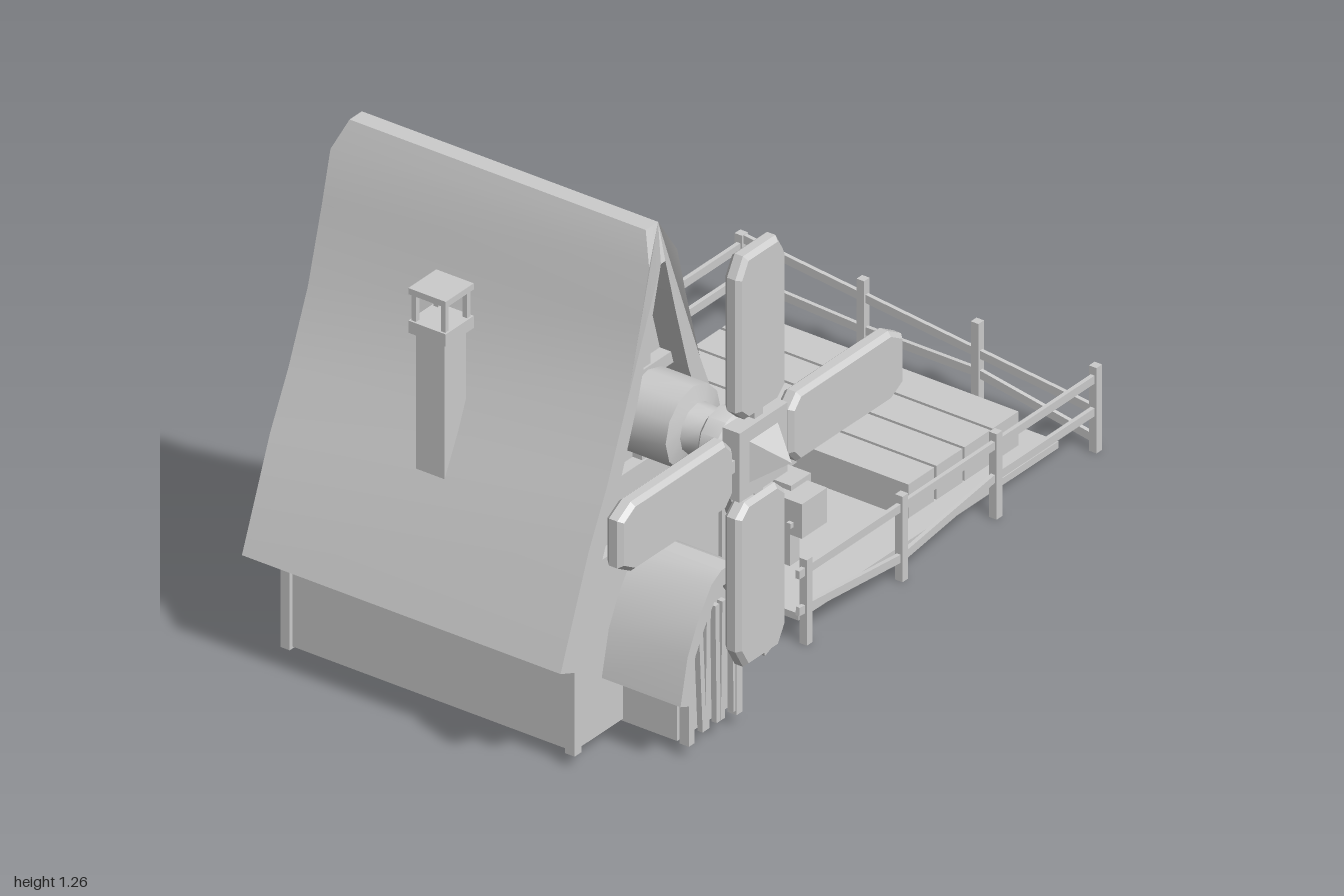
import * as THREE from 'three';
import { toCreasedNormals } from 'three/addons/utils/BufferGeometryUtils.js';

const grey = new THREE.MeshStandardMaterial({ color: 0xcccccc, side: THREE.DoubleSide });
const CX = -0.5; // centre line of the mill house

function add(parent, name, geometry, x = 0, y = 0, z = 0) {
  const mesh = new THREE.Mesh(geometry, grey);
  mesh.name = name;
  mesh.position.set(x, y, z);
  parent.add(mesh);
  return mesh;
}

// Box given by its extents on each axis
function block(parent, name, x0, x1, y0, y1, z0, z1) {
  return add(parent, name, new THREE.BoxGeometry(x1 - x0, y1 - y0, z1 - z0),
    (x0 + x1) / 2, (y0 + y1) / 2, (z0 + z1) / 2);
}

// Square bar between two points
function bar(parent, name, a, b, w, d = w) {
  const p = new THREE.Vector3(...a), q = new THREE.Vector3(...b);
  const mesh = add(parent, name, new THREE.BoxGeometry(w, d, p.distanceTo(q)));
  mesh.position.copy(p).add(q).multiplyScalar(0.5);
  mesh.lookAt(q);
  return mesh;
}

function group(parent, name) {
  const g = new THREE.Group();
  g.name = name;
  parent.add(g);
  return g;
}

// Symmetrical shape from half profiles: outer and inner both run from eave to ridge
function archShape(outer, inner) {
  const mirror = pts => pts.map(([x, y]) => [-x, y]);
  const loop = [...outer, ...mirror(outer).reverse(), ...mirror(inner), ...[...inner].reverse()];
  return new THREE.Shape(loop.map(([x, y]) => new THREE.Vector2(x, y)));
}

function extrude(shape, z0, z1) {
  const g = new THREE.ExtrudeGeometry(shape, { depth: z1 - z0, bevelEnabled: false });
  return g.translate(0, 0, z0);
}

function buildHouse(root) {
  const house = group(root, 'house');
  block(house, 'walls', -0.765, -0.235, 0.035, 0.43, -0.52, 0.245);
  for (const x of [-0.775, -0.25]) for (const z of [-0.53, 0.23])
    block(house, 'cornerPost', x, x + 0.025, 0.03, 0.44, z, z + 0.025);

  // Flared main roof with the ridge ends cut back
  const outer = [[0.365, 0.285], [0.265, 0.54], [0.2, 0.67], [0.13, 0.84], [0.08, 1.02], [0.05, 1.14], [0.022, 1.21]];
  const inner = [[0.315, 0.265], [0.235, 0.45], [0.16, 0.64], [0.09, 0.83], [0.042, 1.0], [0.008, 1.13]];
  const roof = extrude(archShape(outer, inner), -0.565, 0.285);
  const pos = roof.attributes.position;
  for (let i = 0; i < pos.count; i++)
    if (pos.getY(i) > 1.17) pos.setZ(i, pos.getZ(i) > 0 ? 0.255 : -0.535);
  add(house, 'roof', toCreasedNormals(roof, 0.3), CX);

  // Recessed gable panels and the timbers across them
  const gable = new THREE.Shape([[0.23, 0.43], [0.165, 0.64], [0.095, 0.83], [0.045, 1.0], [0, 1.13],
    [-0.045, 1.0], [-0.095, 0.83], [-0.165, 0.64], [-0.23, 0.43]].map(p => new THREE.Vector2(...p)));
  for (const [z0, z1, zf] of [[0.195, 0.215, 0.215], [-0.49, -0.47, -0.52]]) {
    add(house, 'gable', extrude(gable, z0, z1), CX);
    for (const [y, half] of [[0.43, 0.25], [0.605, 0.185], [0.83, 0.1]])
      block(house, 'gableBeam', CX - half, CX + half, y, y + 0.03, zf, zf + 0.03);
    block(house, 'gablePost', CX - 0.015, CX + 0.015, 0.6, 1.12, zf, zf + 0.025);
  }

  // Chimney with an open lantern top
  const chimney = group(house, 'chimney');
  block(chimney, 'chimneyStack', -0.748, -0.672, 0.56, 0.92, -0.188, -0.112);
  block(chimney, 'chimneyCollar', -0.76, -0.66, 0.91, 0.94, -0.2, -0.1);
  for (const x of [-0.755, -0.677]) for (const z of [-0.195, -0.117])
    block(chimney, 'lanternPost', x, x + 0.012, 0.935, 1.01, z, z + 0.012);
  block(chimney, 'chimneyCap', -0.76, -0.66, 1.005, 1.02, -0.2, -0.1);
}

function buildPorch(root) {
  const porch = group(root, 'porch');
  const outer = [[0.165, 0.17], [0.14, 0.28], [0.105, 0.35], [0.055, 0.42], [0.02, 0.44]];
  const inner = [[0.135, 0.158], [0.112, 0.27], [0.08, 0.325], [0.04, 0.38], [0.012, 0.4]];
  add(porch, 'porchRoof', toCreasedNormals(extrude(archShape(outer, inner), 0.23, 0.455), 0.5), CX);
  block(porch, 'door', CX - 0.09, CX + 0.09, 0.03, 0.34, 0.24, 0.39);
  // Slim uneven planks in front of the door
  for (const [top, foot] of [[-0.05, -0.035], [-0.02, -0.025], [0.01, 0.015], [0.035, 0.03], [0.07, 0.075]])
    bar(porch, 'porchPlank', [CX + top, 0.33, 0.415], [CX + foot, 0.04, 0.415], 0.014);
  for (const s of [-1, 1])
    block(porch, 'porchPost', CX + s * 0.085 - 0.01, CX + s * 0.085 + 0.01, 0.03, 0.32, 0.4, 0.425);
}

function buildSails(root) {
  const sails = group(root, 'windmillSails');
  sails.position.set(CX, 0.755, 0);
  // Axle turned from a stepped profile, running out of the gable
  const profile = [[0, 0.2], [0.098, 0.2], [0.098, 0.365], [0.06, 0.375], [0.055, 0.42], [0.075, 0.435],
    [0.075, 0.48], [0.06, 0.51], [0, 0.51]].map(p => new THREE.Vector2(...p));
  add(sails, 'axle', toCreasedNormals(new THREE.LatheGeometry(profile, 12).rotateX(Math.PI / 2), 0.6));
  add(sails, 'hub', new THREE.BoxGeometry(0.17, 0.17, 0.046), 0, 0, 0.53);
  const nose = new THREE.ConeGeometry(0.072, 0.075, 4, 1).rotateY(Math.PI / 4).rotateX(Math.PI / 2).toNonIndexed();
  nose.computeVertexNormals();
  add(sails, 'hubNose', nose, 0, 0, 0.59);

  // Sail blade: bevelled plate with clipped corners
  const blade = new THREE.Shape([[-0.05, 0.112], [0.05, 0.112], [0.075, 0.135], [0.075, 0.455], [0.052, 0.495],
    [-0.052, 0.495], [-0.075, 0.455], [-0.075, 0.135]].map(p => new THREE.Vector2(...p)));
  const bladeGeometry = new THREE.ExtrudeGeometry(blade,
    { depth: 0.022, bevelThickness: 0.011, bevelSize: 0.01, bevelSegments: 1 }).translate(0, 0, 0.519);
  for (let i = 0; i < 4; i++) {
    const arm = group(sails, 'sail');
    arm.rotation.z = i * Math.PI / 2;
    add(arm, 'sailBlade', bladeGeometry);
    add(arm, 'sailRoot', new THREE.BoxGeometry(0.03, 0.06, 0.02), 0, 0.095, 0.53);
  }
}

function buildBarrels(root) {
  const profile = [[0, 0], [0.037, 0], [0.045, 0.04], [0.048, 0.07], [0.045, 0.1], [0.037, 0.14], [0.032, 0.14],
    [0.032, 0.133], [0, 0.133]].map(p => new THREE.Vector2(...p));
  const geometry = toCreasedNormals(new THREE.LatheGeometry(profile, 12), 0.6);
  for (const z of [0.08, 0.19]) add(root, 'barrel', geometry, -0.148, 0.02, z);
}

function buildGarden(root) {
  const garden = group(root, 'garden');
  block(garden, 'platform', -0.005, 0.92, 0.018, 0.035, -0.56, 0.275);
  for (let i = 0; i < 4; i++)
    block(garden, 'plantingBed', 0.463 + i * 0.1, 0.555 + i * 0.1, 0.03, 0.118, -0.505, 0.217);

  // Hives on posts: centre, body size, then the smaller box joined to it
  const hives = [
    [0.333, -0.445, 0.1, 0.12, 0, 0, 0.07, 0.13],
    [0.17, -0.26, 0.1, 0.11, -0.03, -0.035, 0.11, 0.07],
    [0.325, -0.08, 0.1, 0.13, -0.005, 0.01, 0.085, 0.16],
    [0.165, 0.12, 0.09, 0.14, 0.022, -0.03, 0.07, 0.095],
  ];
  for (const [x, z, w, d, ox, oz, bw, bd] of hives) {
    const hive = group(garden, 'hive');
    hive.position.set(x, 0, z);
    add(hive, 'hivePost', new THREE.BoxGeometry(0.035, 0.12, 0.035), 0, 0.077, 0);
    add(hive, 'hiveBody', new THREE.BoxGeometry(w, 0.085, d), 0, 0.175, 0);
    add(hive, 'hiveLid', new THREE.BoxGeometry(bw, 0.06, bd), ox, 0.2, oz);
    add(hive, 'hiveHandle', new THREE.BoxGeometry(w + 0.02, 0.012, 0.012), 0, 0.16, d * 0.3);
  }
}

function buildFence(root) {
  const fence = group(root, 'fence');
  const right = 0.985, front = 0.325, back = -0.62;
  const post = (x, z) => block(fence, 'fencePost', x - 0.01, x + 0.01, 0, 0.21, z - 0.01, z + 0.01);
  const rails = pts => pts.slice(1).forEach((p, i) => bar(fence, 'fenceRail', pts[i], p, 0.01, 0.02));
  const xs = [-0.045, 0.295, 0.63];
  for (const z of [front, back]) {
    xs.forEach(x => post(x, z));
    post(right, z);
    rails([[-0.075, 0.18, z], [right, 0.18, z]]);
  }
  [0.01, -0.295].forEach(z => post(right, z));
  // Sagging lower rails
  rails([[-0.075, 0.09, front], [0.295, 0.055, front], [0.63, 0.1, front], [right, 0.1, front]]);
  rails([[-0.075, 0.06, back], [0.295, 0.075, back], [0.63, 0.1, back], [right, 0.1, back]]);
  rails([[right, 0.1, front], [right, 0.2, back]]);
  rails([[right, 0.03, front], [right, 0.085, 0.01], [right, 0.085, -0.295], [right, 0.1, back]]);
}

export function createModel() {
  const model = new THREE.Group();
  model.name = 'windmillFarm';
  [buildHouse, buildPorch, buildSails, buildBarrels, buildGarden, buildFence].forEach(build => build(model));
  return model;
}
